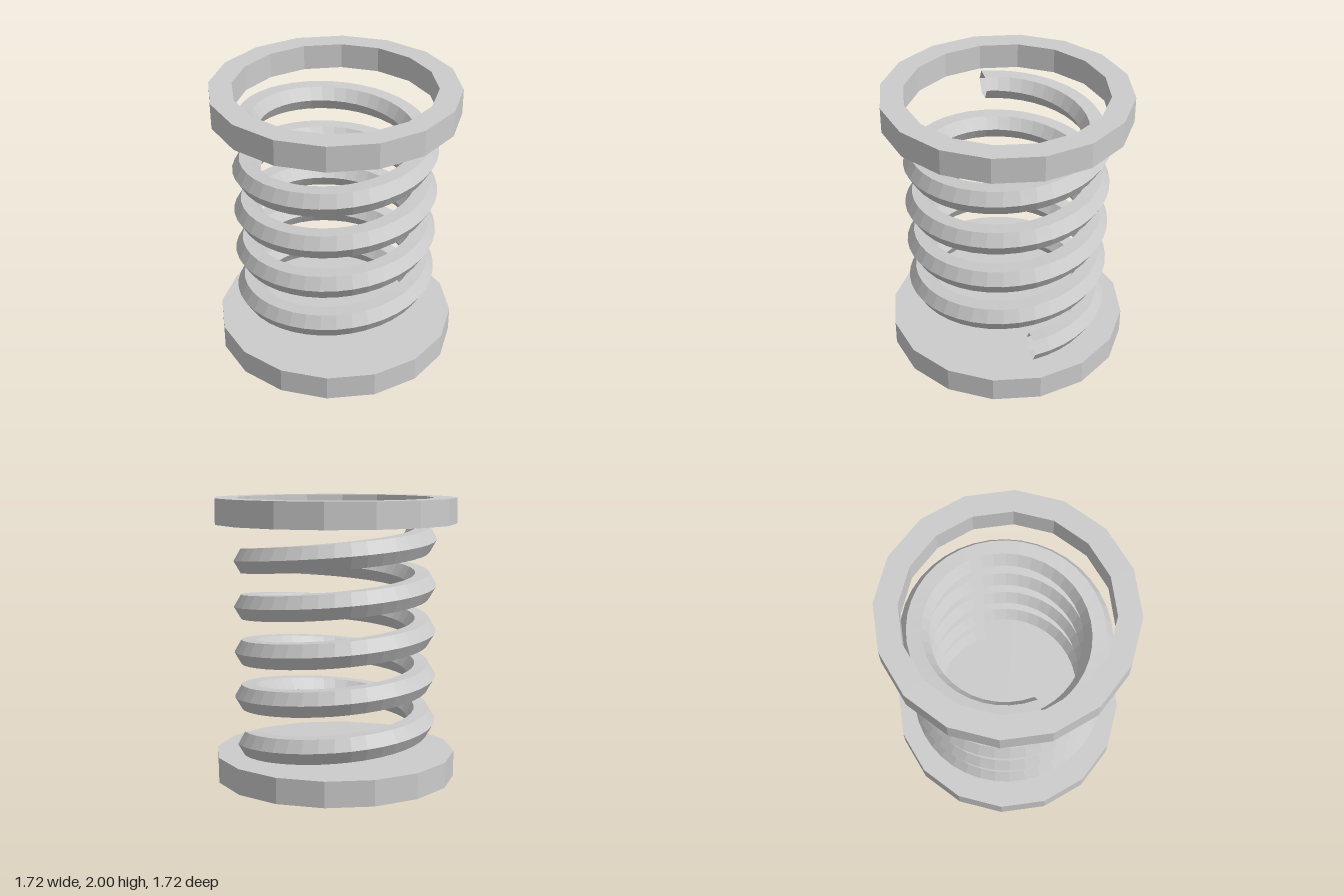
import * as THREE from 'three';

const SIDES = 16, PLATE_R = 0.86, PLATE_H = 0.18, RING_INNER_R = 0.7;
const COIL_R = 0.62, WIRE_R = 0.1, WIRE_SIDES = 6, TURNS = 4.5, STEPS_PER_TURN = 40;
const COIL_BOTTOM = 0.27, COIL_TOP = 1.73;

// Open hexagonal wire swept along a helix, its section kept upright and radial
function coilGeometry() {
  const steps = TURNS * STEPS_PER_TURN;
  const positions = [], indices = [];
  for (let i = 0; i <= steps; i++) {
    const turn = (i / STEPS_PER_TURN) * Math.PI * 2;
    const y = THREE.MathUtils.lerp(COIL_BOTTOM, COIL_TOP, i / steps);
    for (let j = 0; j < WIRE_SIDES; j++) {
      const a = (j / WIRE_SIDES) * Math.PI * 2;
      const r = COIL_R + WIRE_R * Math.cos(a);
      positions.push(r * Math.cos(turn), y + WIRE_R * Math.sin(a), -r * Math.sin(turn));
      if (i === steps) continue;
      const k = (j + 1) % WIRE_SIDES;
      const p = i * WIRE_SIDES, q = p + WIRE_SIDES;
      indices.push(p + j, q + j, p + k, q + j, q + k, p + k);
    }
  }
  const geometry = new THREE.BufferGeometry();
  geometry.setAttribute('position', new THREE.Float32BufferAttribute(positions, 3));
  geometry.setIndex(indices);
  geometry.computeVertexNormals();
  return geometry;
}

export function createModel() {
  const model = new THREE.Group();
  model.name = 'coilSpring';
  const solid = new THREE.MeshStandardMaterial({ color: 0xcccccc, flatShading: true });
  const open = new THREE.MeshStandardMaterial({
    color: 0xcccccc, flatShading: true, side: THREE.DoubleSide,
  });
  const add = (name, geometry, material, y = 0) => {
    const mesh = new THREE.Mesh(geometry, material);
    mesh.name = name;
    mesh.position.y = y;
    model.add(mesh);
  };

  // Solid base plate
  add('basePlate', new THREE.CylinderGeometry(PLATE_R, PLATE_R, PLATE_H, SIDES), solid, PLATE_H / 2);

  // Spring wire with open ends
  add('spring', coilGeometry(), open);

  // Top ring with a rectangular section
  const section = [
    [RING_INNER_R, 0], [PLATE_R, 0], [PLATE_R, PLATE_H], [RING_INNER_R, PLATE_H], [RING_INNER_R, 0],
  ].map(([r, y]) => new THREE.Vector2(r, y));
  add('topRing', new THREE.LatheGeometry(section, SIDES), solid, 2 - PLATE_H);

  return model;
}
